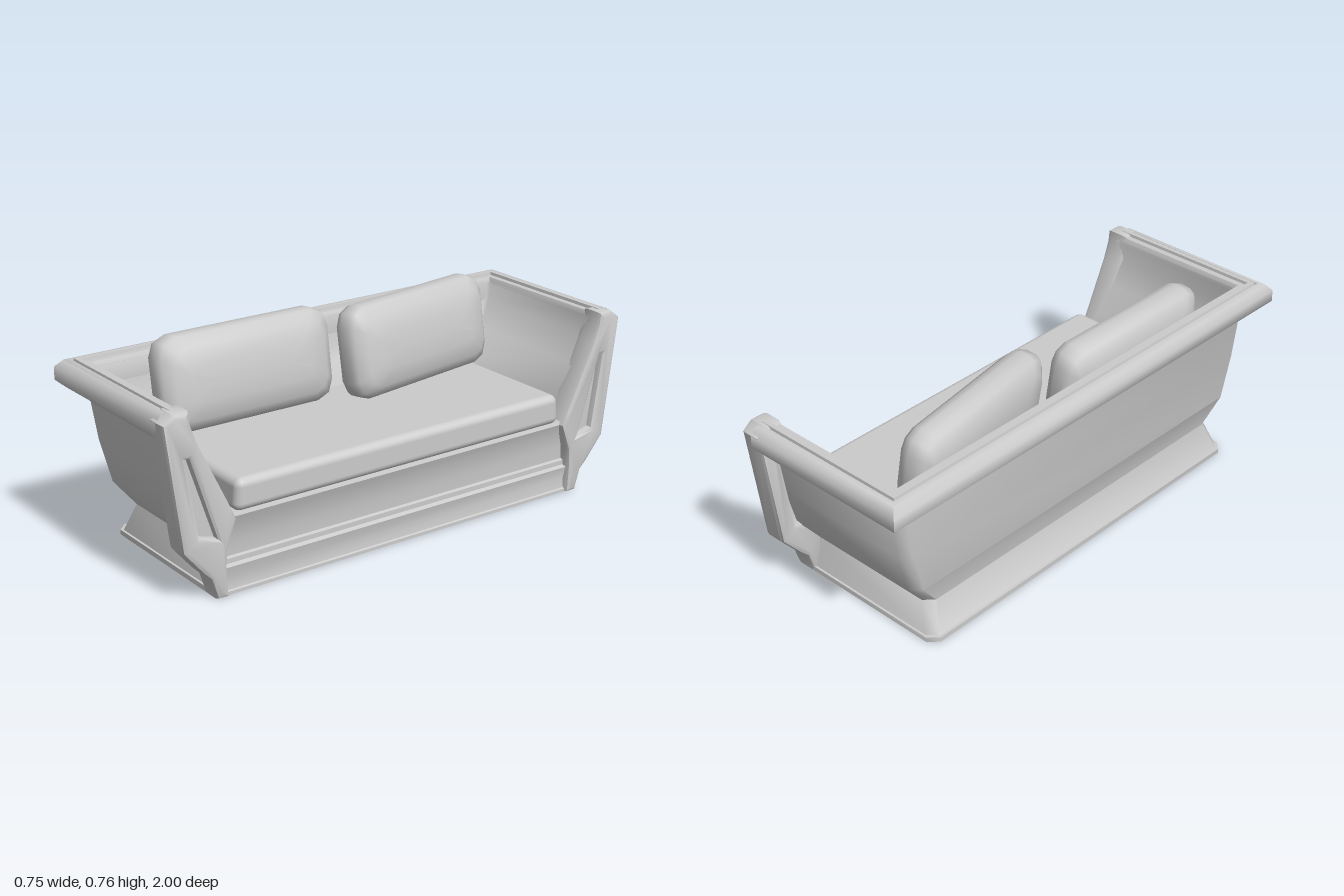
import * as THREE from 'three';
import { toCreasedNormals } from 'three/addons/utils/BufferGeometryUtils.js';
import { RoundedBoxGeometry } from 'three/addons/geometries/RoundedBoxGeometry.js';

const material = new THREE.MeshStandardMaterial({ color: 0xcccccc, side: THREE.DoubleSide });

// Skin a surface over rings of [x, y, z] points
function loft(rings, crease = 0.6) {
  const n = rings[0].length, index = [];
  for (let i = 0; i < rings.length - 1; i++) {
    for (let j = 0; j < n - 1; j++) {
      const a = i * n + j, b = a + 1, c = a + n, d = c + 1;
      index.push(a, c, b, b, c, d);
    }
  }
  const g = new THREE.BufferGeometry();
  g.setAttribute('position', new THREE.Float32BufferAttribute(rings.flat(2), 3));
  g.setIndex(index);
  return toCreasedNormals(g, crease);
}

// U-shaped wall (back and two sides) from levels of [y, backX, sideZ]
function wall(levels, chamfer, frontX) {
  return loft(levels.map(([y, x, z]) => {
    const half = [[frontX, y, z], [x + chamfer, y, z], [x, y, z - chamfer]];
    return [...half, ...half.map(([a, b, c]) => [a, b, -c]).reverse()];
  }), 0.9);
}

const polygon = (points, s) => points.map(([z, y]) => new THREE.Vector2(z * s, y));

export function createModel() {
  const sofa = new THREE.Group();
  const add = (name, geometry) => {
    const mesh = new THREE.Mesh(geometry, material);
    mesh.name = name;
    sofa.add(mesh);
    return mesh;
  };

  // Outer shell with a waist and flared foot, open underneath
  add('outerShell', wall([
    [0.6, -0.32, 0.935], [0.575, -0.318, 0.932], [0.574, -0.308, 0.922], [0.4, -0.304, 0.895],
    [0.23, -0.3, 0.85], [0.13, -0.277, 0.77], [0.02, -0.325, 0.802],
    [0.019, -0.335, 0.81], [0, -0.335, 0.81],
  ], 0.035, 0.3));

  // Inner lining sloping down to the seat
  add('innerLining', wall([
    [0.67, -0.272, 0.896], [0.6, -0.27, 0.885], [0.5, -0.25, 0.835],
    [0.4, -0.22, 0.765], [0.28, -0.2, 0.73],
  ], 0.01, 0.3));

  // Padded top rail with a groove: [inset from outside, y], mitred at the corners
  const section = [
    [0, 0.615], [0, 0.662], [0.025, 0.69], [0.044, 0.693], [0.046, 0.684], [0.05, 0.684],
    [0.052, 0.697], [0.07, 0.697], [0.072, 0.686], [0.095, 0.686], [0.105, 0.665],
    [0.105, 0.597], [0.025, 0.592], [0, 0.615],
  ];
  const stations = [[0.32, 1, 0, -1], [-0.375, 1, 1, -1], [-0.375, -1, 1, 1], [0.32, -1, 0, 1]];
  add('topRail', loft(stations.map(([x, z, dx, dz]) =>
    section.map(([d, y]) => [x + dx * d, y, z + dz * d])), 0.9));

  // Front posts running down into feet, each with a recessed panel
  const outline = [
    [0.96, 0.695], [1, 0.665], [0.94, 0.2], [0.865, 0.11], [0.835, 0.08], [0.81, 0],
    [0.765, 0], [0.77, 0.1], [0.765, 0.18], [0.728, 0.28], [0.75, 0.33],
    [0.87, 0.58], [0.895, 0.65], [0.9, 0.695],
  ];
  const recess = [[0.918, 0.53], [0.908, 0.53], [0.808, 0.225], [0.875, 0.245]];
  for (const s of [1, -1]) {
    const shape = new THREE.Shape(polygon(outline, s));
    shape.holes.push(new THREE.Path(polygon(recess, s)));
    const post = new THREE.ExtrudeGeometry(shape, {
      depth: 0.06, bevelThickness: 0.02, bevelSize: 0.016, bevelOffset: -0.016, bevelSegments: 2,
    });
    const name = s < 0 ? 'leftFrontPost' : 'rightFrontPost';
    add(name, toCreasedNormals(post.rotateY(Math.PI / 2).translate(0.29, 0, 0), 0.6));
    const panel = new THREE.ShapeGeometry(new THREE.Shape(polygon(outline, s)));
    add(name + 'Panel', panel.rotateY(Math.PI / 2).translate(0.343, 0, 0));
  }

  // Curved front apron with a stepped plinth
  const apron = [
    [0.26, 0.295], [0.345, 0.293], [0.35, 0.28], [0.335, 0.24], [0.324, 0.18], [0.322, 0.128],
    [0.334, 0.124], [0.334, 0.106], [0.35, 0.1], [0.34, 0.055], [0.345, 0.015], [0.352, 0.012],
    [0.352, 0], [0.31, 0],
  ];
  add('frontApron', loft([0.775, -0.775].map(z => apron.map(([x, y]) => [x, y, z]))));

  // Seat deck and cushion
  add('seatDeck', new THREE.BoxGeometry(0.54, 0.03, 1.47).translate(0.06, 0.275, 0));
  const cushion = new RoundedBoxGeometry(0.61, 0.118, 1.45, 3, 0.03).translate(0.05, 0.347, 0);
  const c = cushion.attributes.position;
  for (let i = 0; i < c.count; i++) {
    const t = Math.max(0, (c.getY(i) - 0.3) / 0.1);
    c.setZ(i, c.getZ(i) * (1 - 0.012 * t));
  }
  add('seatCushion', cushion);

  // Back pillows: octagonal outline, plump in the middle, leaning back
  const corner = 0.07;
  const pillowRing = (x, inset) => {
    const h = 0.178 - inset, w = 0.362 - inset, k = corner - inset * 0.3;
    const q = [[h, w - k], [h - k * 0.3, w - k * 0.3], [h - k, w]];
    const ring = [...q, ...q.map(([y, z]) => [-y, z]).reverse(),
      ...q.map(([y, z]) => [-y, -z]), ...q.map(([y, z]) => [y, -z]).reverse()];
    return [...ring, ring[0]].map(([y, z]) => [x, y, z]);
  };
  const layers = [[0.094, 0.178], [0.09, 0.11], [0.075, 0.045], [0.045, 0.008], [0.02, 0]];
  const rings = [...layers, ...layers.map(([x, i]) => [-x, i]).reverse()]
    .map(([x, i]) => pillowRing(x, i));
  const pillow = loft(rings, 1.2);
  const placements = [['rightPillow', -0.17, 0.352, 0], ['leftPillow', -0.12, -0.39, 0.165]];
  for (const [name, x, z, turn] of placements) {
    const mesh = add(name, pillow);
    mesh.position.set(x, 0.582, z);
    mesh.rotation.set(0, turn, 0.15);
  }

  return sofa;
}
